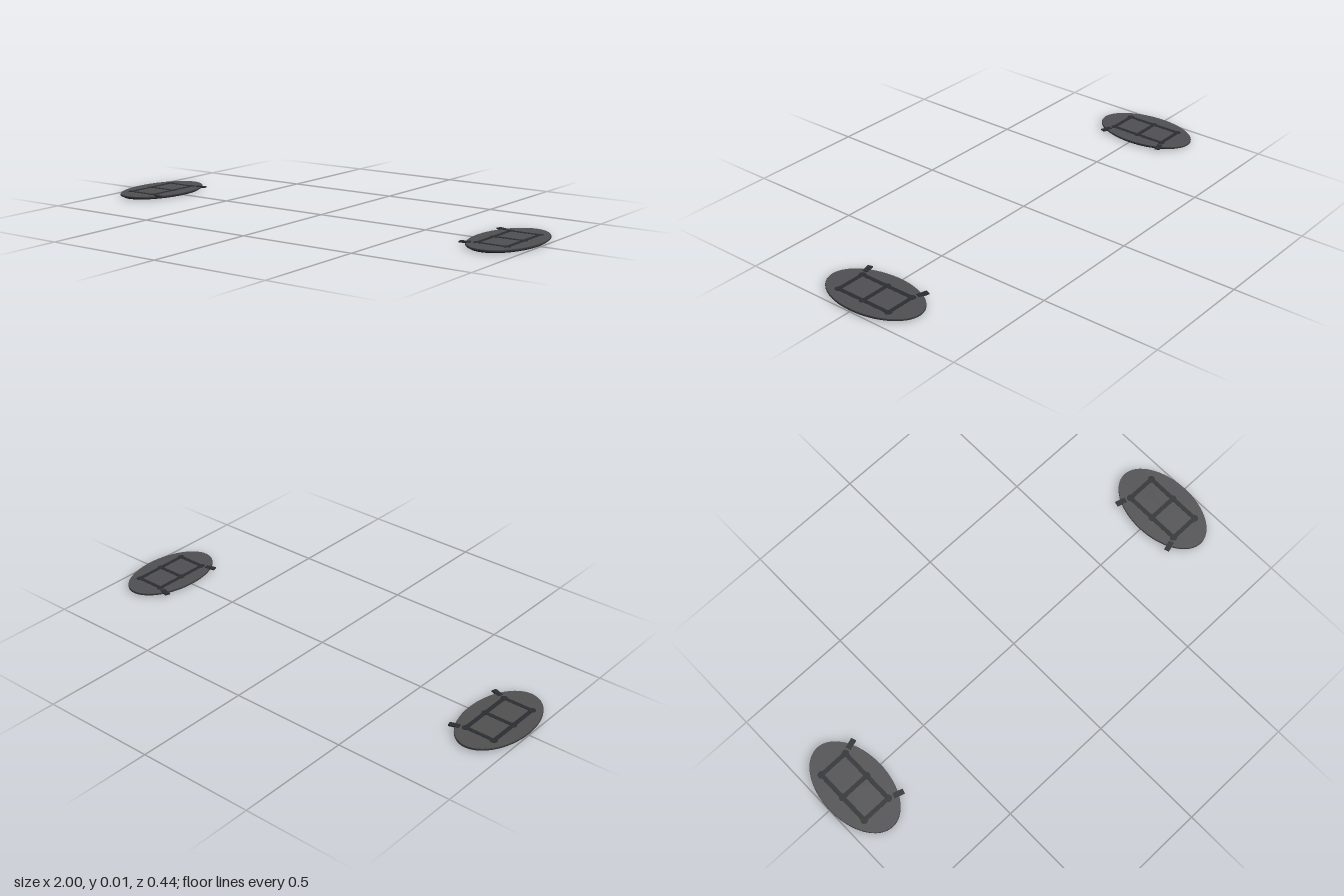
import * as THREE from 'three';

const mat = (color) => new THREE.MeshStandardMaterial({ color });

export function createModel() {
  const group = new THREE.Group();
  const plateMat = mat(0x505052), rimMat = mat(0x36373a), soleMat = mat(0x17181c), strapMat = mat(0x2b2d30);

  function add(parent, name, geometry, material, x = 0, y = 0, z = 0) {
    const mesh = new THREE.Mesh(geometry, material);
    mesh.name = name;
    mesh.position.set(x, y, z);
    parent.add(mesh);
    return mesh;
  }

  // Flat oval disc between two heights
  function oval(rx, rz, y0, y1) {
    return new THREE.CylinderGeometry(1, 1, y1 - y0, 64)
      .scale(rx, 1, rz).translate(0, (y0 + y1) / 2, 0);
  }

  // One oval pad; inner is the x direction towards the other pad
  function makePad(name, inner) {
    const pad = new THREE.Group();
    pad.name = name;
    pad.position.x = -inner * 0.866;
    add(pad, 'sole', oval(0.126, 0.21, 0, 0.007), soleMat);
    add(pad, 'lowerRim', oval(0.134, 0.222, 0.006, 0.0105), rimMat);
    add(pad, 'plate', oval(0.132, 0.22, 0.0105, 0.013), plateMat);

    // Ladder of straps with a round stud at each crossing
    const rows = [-0.126, 0, 0.126];
    for (const x of [-0.063, 0.063]) {
      add(pad, 'longStrap', new THREE.BoxGeometry(0.018, 0.003, 0.252), strapMat, x, 0.0122, 0);
      for (const z of rows)
        add(pad, 'stud', new THREE.CylinderGeometry(0.015, 0.015, 0.003, 20), strapMat, x, 0.0127, z);
    }
    for (const z of rows)
      add(pad, 'crossStrap', new THREE.BoxGeometry(0.126, 0.003, 0.018), strapMat, 0, 0.0122, z);

    // Angled tabs reaching over the inner edge
    for (const s of [-1, 1]) {
      const tab = add(pad, 'tab', new THREE.BoxGeometry(0.044, 0.005, 0.022), strapMat,
        inner * 0.105, 0.0125, s * 0.14);
      tab.rotation.y = -inner * s * 0.3;
    }
    return pad;
  }

  group.add(makePad('leftPad', -1), makePad('rightPad', 1));
  return group;
}
